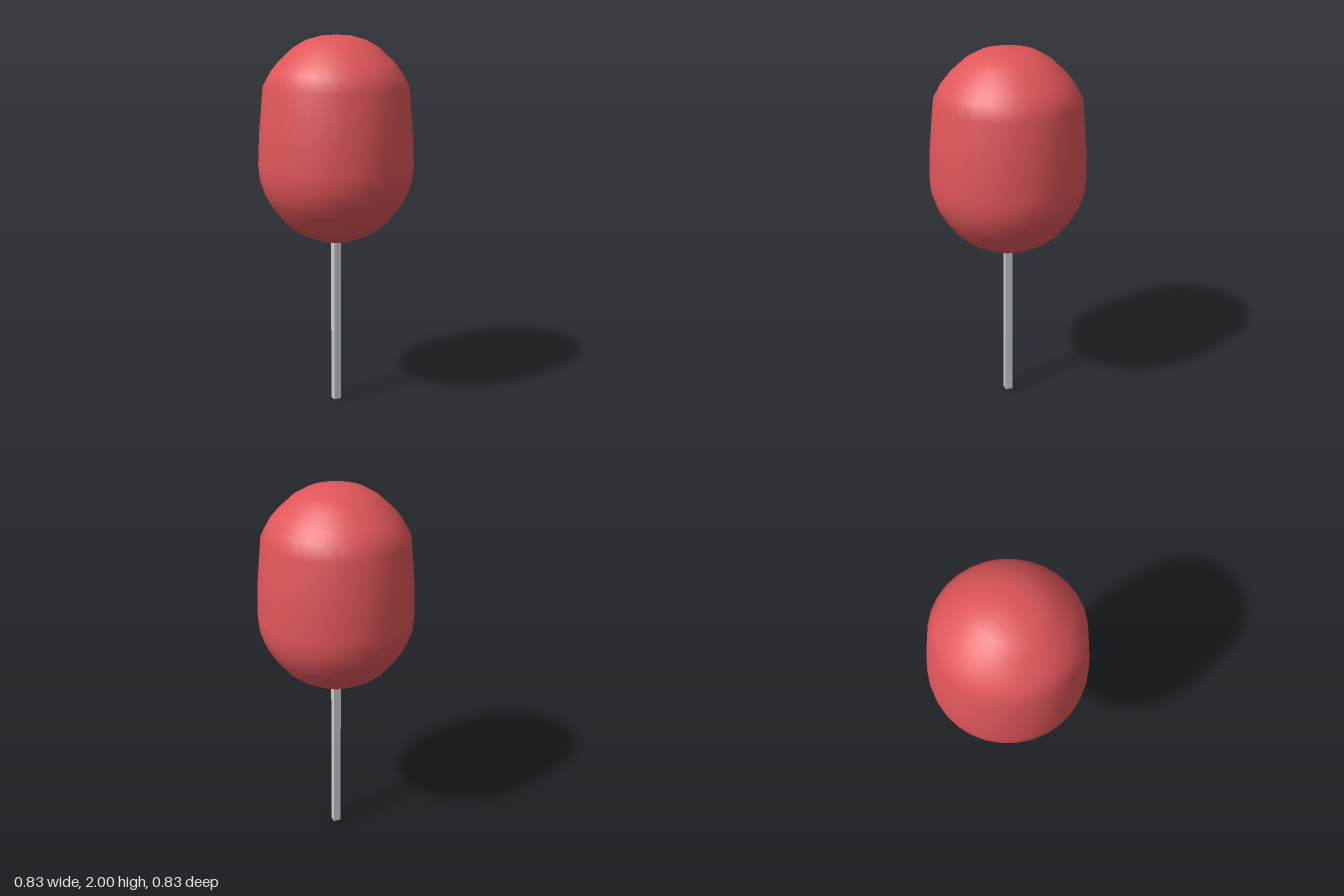
import * as THREE from 'three';

export function createModel() {
  const model = new THREE.Group();

  // Rounded head, turned from a profile running bottom to top
  const profile = [
    [0, 0.89], [0.09, 0.91], [0.175, 0.942], [0.23, 0.975], [0.28, 1.015],
    [0.34, 1.09], [0.38, 1.16], [0.406, 1.235], [0.414, 1.32], [0.407, 1.485],
    [0.385, 1.735], [0.345, 1.81], [0.305, 1.86], [0.23, 1.932],
    [0.16, 1.973], [0.08, 1.996], [0, 2],
  ].map(([r, y]) => new THREE.Vector2(r, y));
  const head = new THREE.Mesh(
    new THREE.LatheGeometry(profile, 32),
    new THREE.MeshStandardMaterial({ color: 0xe0565a })
  );
  head.name = 'head';
  model.add(head);

  // Square stick, its top end sunk slightly into the head
  const height = 0.92;
  const stick = new THREE.Mesh(
    new THREE.BoxGeometry(0.04, height, 0.04),
    new THREE.MeshStandardMaterial({ color: 0xcccccc })
  );
  stick.position.y = height / 2;
  stick.name = 'stick';
  model.add(stick);

  return model;
}
